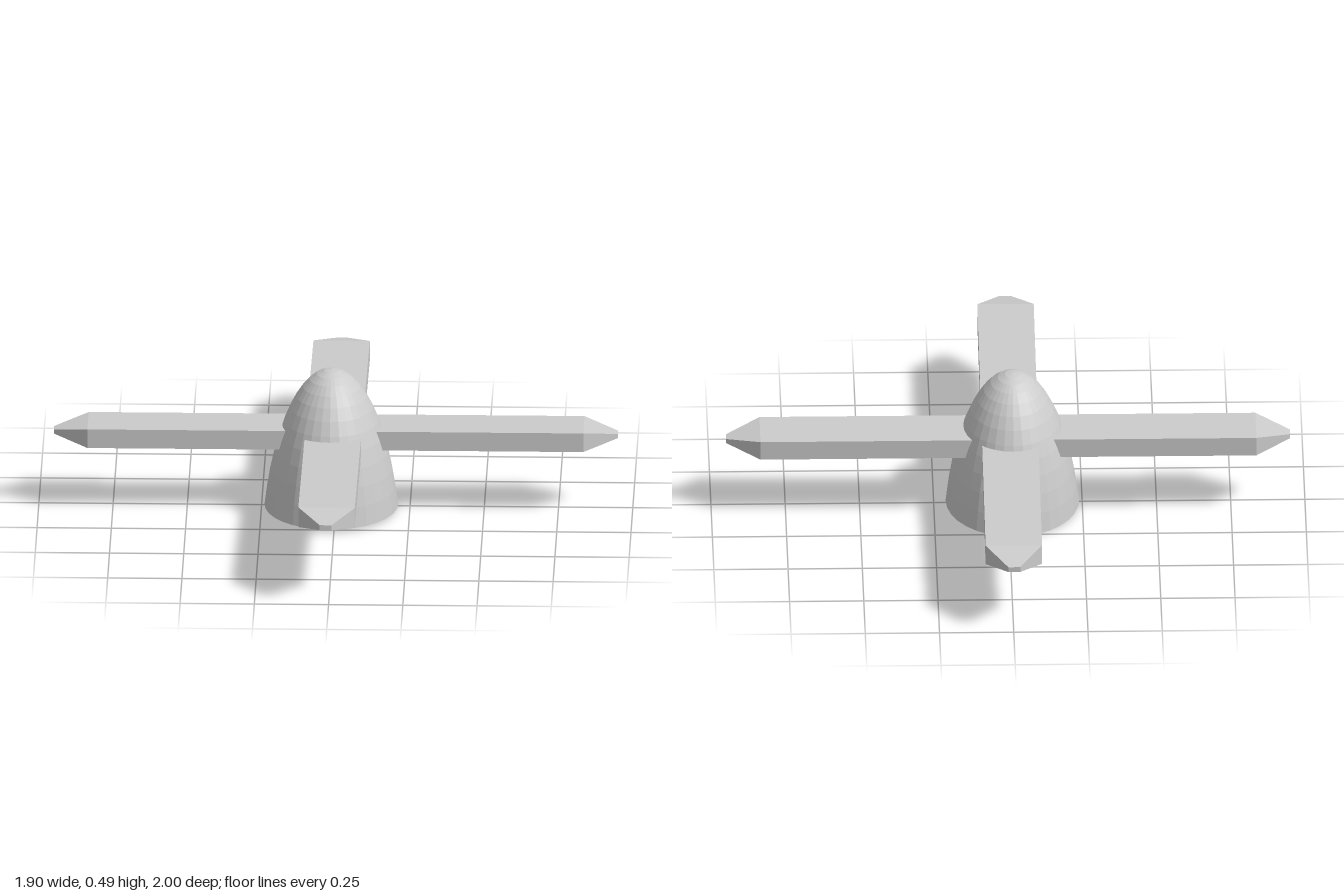
import * as THREE from 'three';

const material = new THREE.MeshStandardMaterial({ color: 0xcccccc, flatShading: true, side: THREE.DoubleSide });

// Straight bar along x whose two ends taper from the shoulder to a small blunt tip
function bladePair(name, length, shoulder, height, width, tipHeight, tipWidth) {
  const geo = new THREE.BoxGeometry(length, height, width, 3, 1, 1);
  const p = geo.attributes.position;
  for (let i = 0; i < p.count; i++) {
    const x = p.getX(i);
    if (Math.abs(x) > length * 0.4) {
      p.setY(i, Math.sign(p.getY(i)) * tipHeight / 2);
      p.setZ(i, Math.sign(p.getZ(i)) * tipWidth / 2);
    } else {
      p.setX(i, Math.sign(x) * shoulder);
    }
  }
  geo.computeVertexNormals();
  const mesh = new THREE.Mesh(geo, material);
  mesh.name = name;
  return mesh;
}

// Domed nose: the upper part of an ellipsoid, closed underneath
function hub() {
  const top = 0.48, centre = -0.2, radius = 1, rise = top - centre;
  const start = Math.asin(-centre / rise);
  const profile = [new THREE.Vector2(0, 0)];
  const steps = 12;
  for (let i = 0; i <= steps; i++) {
    const a = start + (Math.PI / 2 - start) * i / steps;
    const r = i === steps ? 0 : radius * Math.cos(a) / Math.cos(start);
    profile.push(new THREE.Vector2(r, centre + rise * Math.sin(a)));
  }
  const geo = new THREE.LatheGeometry(profile, 32);
  geo.scale(0.225, 1, 0.272); // oval in plan
  const mesh = new THREE.Mesh(geo, material);
  mesh.name = 'hub';
  return mesh;
}

export function createModel() {
  const model = new THREE.Group();
  model.name = 'propeller';

  // Everything leans back very slightly
  const assembly = new THREE.Group();
  assembly.name = 'tiltedAssembly';
  assembly.rotation.x = -0.02;
  assembly.position.y = 0.006;
  model.add(assembly);

  const nose = hub();
  nose.position.set(-0.015, 0, 0.005);
  assembly.add(nose);

  const side = bladePair('sideBlades', 1.9, 0.835, 0.066, 0.186, 0.015, 0.035);
  side.position.set(0, 0.25, -0.013);
  assembly.add(side);

  const fore = bladePair('frontBackBlades', 2, 0.89, 0.07, 0.19, 0.018, 0.04);
  fore.rotation.y = Math.PI / 2 - 0.004;
  fore.position.set(-0.006, 0.249, 0.005);
  assembly.add(fore);

  return model;
}
